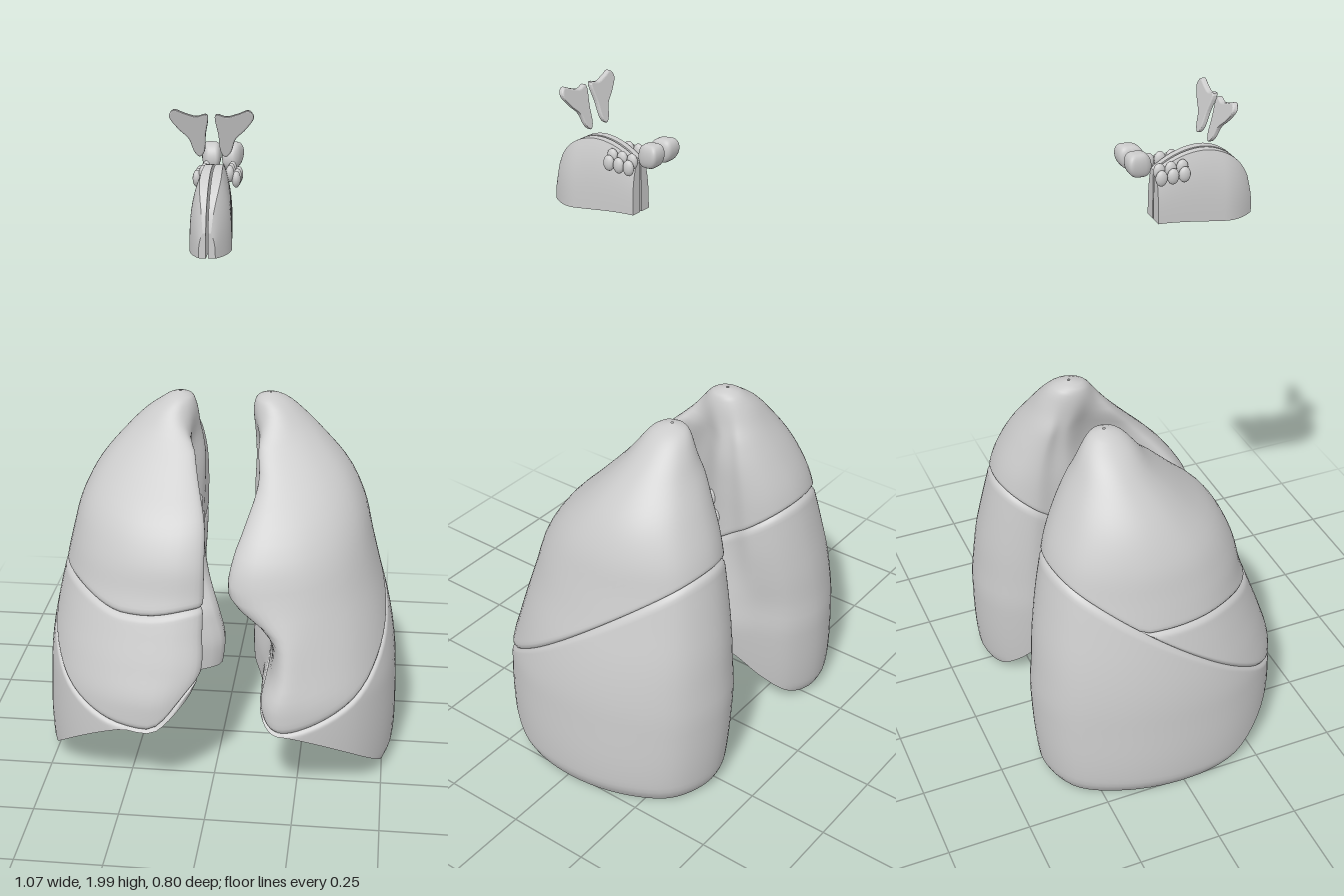
import * as THREE from 'three';

const material = new THREE.MeshStandardMaterial({ color: 0xcccccc, side: THREE.DoubleSide });
const { lerp, smoothstep } = THREE.MathUtils;
const N = 80;

// Lung sections by height: y, back-medial x, mid-medial x, lateral x, back z, front z, front edge x, hollow x
const LEFT = [
  [0, .12, .10, .505, -.355, .37, .17, .13], [.06, .11, .10, .532, -.382, .38, .17, .13],
  [.3, .09, .085, .532, -.395, .39, .15, .13], [.4, .09, .09, .522, -.387, .362, .18, .15],
  [.5, .09, .09, .502, -.377, .332, .165, .17], [.6, .09, .09, .475, -.36, .3, .05, .16],
  [.7, .09, .09, .45, -.34, .27, .05, .15], [.8, .09, .085, .425, -.315, .205, .085, .14],
  [.9, .09, .088, .375, -.27, .11, .115, .13], [1, .085, .083, .288, -.215, .02, .1, .1],
  [1.05, .083, .08, .237, -.19, -.02, .09, .09], [1.085, .086, .084, .196, -.168, -.045, .09, .088],
  [1.102, .098, .096, .164, -.145, -.068, .1, .098], [1.11, .128, .127, .134, -.112, -.104, .127, .128],
];
const RIGHT = [
  [0, .15, .08, .5, -.355, .38, .1, .14], [.06, .13, .05, .53, -.382, .39, .09, .14],
  [.3, .1, .0, .53, -.395, .398, .07, .14], [.4, .1, .02, .522, -.387, .37, .03, .15],
  [.5, .09, .06, .505, -.377, .335, .03, .17], [.6, .08, .08, .483, -.36, .3, .03, .17],
  [.7, .075, .08, .46, -.34, .275, .03, .16], [.8, .072, .075, .434, -.315, .22, .035, .14],
  [.9, .075, .072, .382, -.27, .12, .065, .12], [1, .09, .085, .297, -.215, .02, .09, .1],
  [1.05, .092, .09, .245, -.188, -.02, .095, .098], [1.08, .1, .098, .202, -.165, -.045, .1, .1],
  [1.097, .112, .11, .175, -.143, -.07, .112, .112], [1.105, .14, .139, .146, -.112, -.104, .139, .14],
];

// Smooth interpolation of the section table
function levelAt(table, y) {
  let i = 0;
  while (i < table.length - 2 && y > table[i + 1][0]) i++;
  const p = table[Math.max(i - 1, 0)], a = table[i], b = table[i + 1], q = table[Math.min(i + 2, table.length - 1)];
  const h = b[0] - a[0], t = THREE.MathUtils.clamp((y - a[0]) / h, 0, 1);
  return a.map((v, k) => {
    const m0 = (b[k] - p[k]) / (b[0] - p[0]) * h, m1 = (q[k] - v) / (q[0] - a[0]) * h;
    const t2 = t * t, t3 = t2 * t;
    return (2 * t3 - 3 * t2 + 1) * v + (t3 - 2 * t2 + t) * m0 + (3 * t2 - 2 * t3) * b[k] + (t3 - t2) * m1;
  });
}

// Horizontal outline: back, lateral, front, then the hollow medial face; it rounds to an ellipse at the apex
function outline(table, y) {
  const [, xb, xm, xl, zb, zf, xf, xc] = levelAt(table, y);
  const X = a => lerp(xb, xl, a), round = smoothstep(y, .96, 1.08);
  const mid = lerp(.47, .37, smoothstep(xm, .02, .08));
  const pts = [[X(.4), 0], [X(.72), .06], [X(.92), .24], [X(1), .47], [X(.94), .7], [X(.75), .87], [X(.45), .975],
    [lerp(xf, X(.45), .3), 1], [xf, .95], [lerp(xf, xc, .6), .78], [xc, .59], [xm, mid],
    [lerp(xm, xb, .6), .26], [xb, .16], [X(.14), .05]];
  return new THREE.CatmullRomCurve3(pts.map(([x, b], i) => {
    const angle = (i + .3) / pts.length * Math.PI * 2;
    const ex = (xm + xl) / 2 + (xl - xm) / 2 * Math.sin(angle), eb = .5 - .5 * Math.cos(angle);
    return new THREE.Vector3(lerp(x, ex, round), y, lerp(zb, zf, lerp(b, eb, round)));
  }), true);
}
const surface = (table, u, y) => outline(table, y).getPoint(u);

// Heights of the oblique fissure, the horizontal fissure and the lower rim
const fissure = p => .515 - .71 * p.z + .1 * smoothstep(.18 - p.x, 0, .15) * smoothstep(p.z, 0, .3);
const crossFissure = p => .552 + .05 * smoothstep(p.x, .25, .48) + .02 * smoothstep(.2 - p.x, 0, .17);
const rim = (p, u) => Math.min(fissure(p) - .008,
  .01 + .06 * Math.max(0, .5 - p.x) + .2 * Math.pow(Math.max(0, (p.z - .06) / .33), 1.7)
  + .2 * smoothstep(u, .45, .56) * (1 - smoothstep(u, .74, .97)));

// Closed rings joined into a smooth skin
function skin(name, rings, flip) {
  const pos = rings.flat().flatMap(p => [p.x, p.y, p.z]), index = [];
  for (let r = 0; r < rings.length - 1; r++) for (let i = 0; i < N; i++) {
    const a = r * N + i, b = r * N + (i + 1) % N, c = a + N, d = b + N;
    if (flip) index.push(a, b, c, b, d, c); else index.push(a, c, b, b, c, d);
  }
  const g = new THREE.BufferGeometry();
  g.setAttribute('position', new THREE.Float32BufferAttribute(pos, 3));
  g.setIndex(index);
  g.computeVertexNormals();
  return mesh(name, g);
}

function mesh(name, geometry) {
  const m = new THREE.Mesh(geometry, material);
  m.name = name;
  return m;
}

function lung(name, table, side) {
  const group = new THREE.Group();
  group.name = name;
  const us = Array.from({ length: N }, (_, i) => i / N), top = table.at(-1)[0];
  const low = us.map(u => rim(surface(table, u, .2), u));
  const cut = us.map((u, i) => {
    let y = .5;
    for (let k = 0; k < 12; k++) y = (y + fissure(surface(table, u, y))) / 2;
    return Math.max(y, low[i] + .004);
  });
  const across = us.map((u, i) => Math.max(cut[i], crossFissure(surface(table, u, .57))));
  const apex = us.map(() => top);
  const out = p => new THREE.Vector3(side * p.x, p.y, p.z);

  // One lobe between two edge heights, its edges turned in along the fissures
  const lobe = (label, from, to, lipLow, lipHigh) => {
    const rows = 32, rings = [];
    for (let r = -1; r <= rows + 1; r++) {
      if ((r < 0 && !lipLow) || (r > rows && !lipHigh)) continue;
      const t = (1 - Math.cos(Math.PI * Math.min(Math.max(r / rows, 0), 1))) / 2;
      rings.push(us.map((u, i) => {
        const y = lerp(from[i], to[i], t), p = surface(table, u, y);
        const [, xb, , xl, zb, zf] = levelAt(table, y);
        const gap = Math.min(lipLow ? y - from[i] : 1, lipHigh ? to[i] - y : 1);
        const inset = r < 0 || r > rows ? .05 : .012 * Math.max(0, 1 - gap / .016) ** 2;
        const inward = new THREE.Vector3((xb + xl) / 2 - p.x, 0, (zb + zf) / 2 - p.z).normalize();
        return out(p.addScaledVector(inward, inset));
      }));
    }
    group.add(skin(label, rings, side < 0));
  };
  lobe('lowerLobe', low, cut, false, true);
  if (side < 0) {
    lobe('middleLobe', cut, across, true, true);
    lobe('upperLobe', across, apex, true, false);
  } else lobe('upperLobe', cut, apex, true, false);

  // Domed hollow underside
  const rings = [], dome = side < 0 ? .4 : .36;
  for (let r = 0; r <= 16; r++) {
    const s = r / 16;
    rings.push(us.map((u, i) => {
      const p = surface(table, u, low[i]);
      return out(new THREE.Vector3(lerp(p.x, .27, s), lerp(low[i], dome, 1 - (1 - s) ** 2), lerp(p.z, .02, s)));
    }));
  }
  group.add(skin('diaphragmSurface', rings, side > 0));

  // Cut ends of the airways and vessels on the medial face
  [[.63, .7], [.69, .735], [.7, .7], [.75, .725], [.58, .72]].forEach(([y, u]) => {
    const end = mesh('hilumVessel', new THREE.SphereGeometry(.022, 16, 10));
    end.position.copy(out(surface(table, u, y)));
    end.scale.set(.4, 1.1, .9);
    group.add(end);
  });
  return group;
}

// Moves every vertex by a rule
function reshape(geometry, rule) {
  const p = geometry.attributes.position, v = new THREE.Vector3();
  for (let i = 0; i < p.count; i++) {
    rule(v.fromBufferAttribute(p, i));
    p.setXYZ(i, v.x, v.y, v.z);
  }
  geometry.computeVertexNormals();
  return geometry;
}

// One half of the small cartilages above the lungs, on the +x side
function cartilages() {
  const half = new THREE.Group();
  half.name = 'cartilageHalf';

  // Arched side plate, widest behind its rounded front
  const body = reshape(new THREE.BoxGeometry(1, 1, 1, 4, 14, 24), v => {
    const z = lerp(.1, .39, v.z + .5), h = v.y + .5;
    const roof = z < .23 ? 1.845 - .045 * ((.23 - z) / .13) ** 2 : 1.67 + .175 * Math.sqrt(1 - ((z - .23) / .162) ** 2);
    const floor = lerp(1.655, 1.632, smoothstep(z, .1, .38));
    const width = (z > .3 ? lerp(.056, .022, ((z - .3) / .09) ** 2) : lerp(.036, .056, (z - .1) / .2)) * (1 - .5 * h ** 3);
    v.set(lerp(.003, width, v.x + .5), lerp(floor, roof, h), z);
  });
  half.add(mesh('sidePlate', body));

  // Thin leaning wing, broad at the top
  const edge = new THREE.CatmullRomCurve3([[.012, 1.985], [.04, 1.98], [.07, 1.988], [.098, 1.997], [.109, 1.98],
    [.088, 1.948], [.06, 1.92], [.047, 1.885], [.034, 1.873], [.023, 1.885], [.018, 1.93]]
    .map(([x, y]) => new THREE.Vector3(x, y, 0)), true);
  const shape = new THREE.Shape(edge.getPoints(60).slice(0, -1).map(p => new THREE.Vector2(p.x, p.y)));
  const wing = new THREE.ExtrudeGeometry(shape, { depth: .008, bevelThickness: .004, bevelSize: .004, bevelOffset: -.003, bevelSegments: 3 });
  half.add(mesh('upperWing', reshape(wing, v => { v.z += .248 + (v.y - 1.88) * .3; })));

  // Row of beads along the side
  for (let k = 0; k < 3; k++) for (let j = 0; j < 2; j++) {
    const bead = mesh('bead', new THREE.SphereGeometry(.015, 14, 10));
    bead.position.set(.036 + .017 * j, 1.812 - .014 * j, .1 + .034 * k);
    bead.scale.set(.8, 1.5, 1.15);
    half.add(bead);
  }

  // Rear pad, straight along the middle and wider towards the back
  const pad = reshape(new THREE.SphereGeometry(1, 28, 20), v => {
    const square = (a, power) => Math.sign(a) * Math.abs(a) ** power;
    v.set(.002 + (square(v.x, .5) + 1) * lerp(.032, .021, (v.z + 1) / 2), 1.84 + v.y * .034 - v.z * .008, .042 + square(v.z, .65) * .037);
  });
  half.add(mesh('rearPad', pad));
  return half;
}

export function createModel() {
  const model = new THREE.Group();
  model.name = 'lungsAndCartilages';
  model.add(lung('leftLung', LEFT, 1), lung('rightLung', RIGHT, -1));
  const left = cartilages(), right = cartilages();
  right.scale.x = -1;
  model.add(left, right);
  return model;
}
